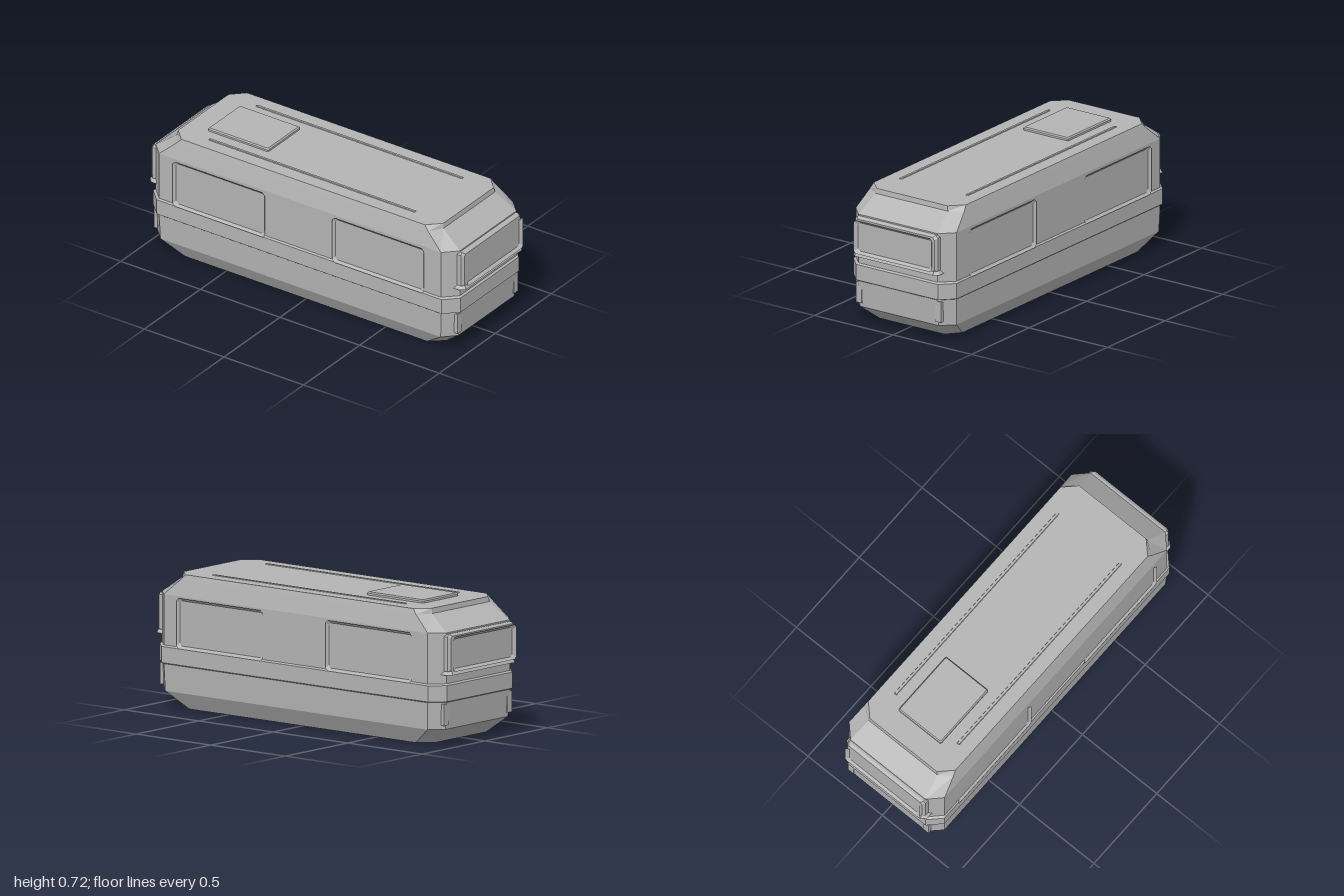
import * as THREE from 'three';

const grey = new THREE.MeshStandardMaterial({ color: 0xb4b4b4 });
grey.name = 'plain grey';

// Rectangle with cut corners at height y: half sizes hx, hz and flat lengths fx (end), fz (side)
function ring(y, hx, fx, hz, fz) {
  return [[hx, fz], [fx, hz], [-fx, hz], [-hx, fz], [-hx, -fz], [-fx, -hz], [fx, -hz], [hx, -fz]]
    .map(([x, z]) => [x, y, z]);
}

// Faceted skin through the rings, closed at the last ring and optionally at the first
function loft(rings, closeStart = true) {
  const pos = [];
  const tri = (...corners) => corners.forEach((c) => pos.push(...c));
  for (let r = 0; r < rings.length - 1; r++) {
    const a = rings[r], b = rings[r + 1];
    for (let i = 0; i < a.length; i++) {
      const j = (i + 1) % a.length;
      tri(a[i], b[i], a[j]);
      tri(b[i], b[j], a[j]);
    }
  }
  const cap = (ringPts, up) => {
    for (let i = 1; i < ringPts.length - 1; i++) {
      if (up) tri(ringPts[0], ringPts[i + 1], ringPts[i]);
      else tri(ringPts[0], ringPts[i], ringPts[i + 1]);
    }
  };
  cap(rings[rings.length - 1], true);
  if (closeStart) cap(rings[0], false);
  const geo = new THREE.BufferGeometry();
  geo.setAttribute('position', new THREE.Float32BufferAttribute(pos, 3));
  geo.computeVertexNormals();
  return geo;
}

// Cut-corner rectangle from half sizes and corner cut
const plate = (y, hx, hz, cut) => ring(y, hx, hx - cut, hz, hz - cut);

function add(parent, name, geo, x = 0, y = 0, z = 0) {
  const mesh = new THREE.Mesh(geo, grey);
  mesh.name = name;
  mesh.position.set(x, y, z);
  parent.add(mesh);
  return mesh;
}

// Everything on one end of the car, facing +z
function makeEnd() {
  const end = new THREE.Group();

  // Bevelled window surround with the inset window in front of it
  const surround = loft([
    plate(0.93, 0.262, 0.102, 0.012),
    plate(0.968, 0.262, 0.102, 0.012),
    plate(0.982, 0.25, 0.093, 0.012),
  ]).rotateX(Math.PI / 2);
  add(end, 'endWindowFrame', surround, 0, 0.484, 0);
  const recess = loft([plate(1, 0.25, 0.091, 0.012), plate(0.985, 0.233, 0.077, 0.012)], false)
    .rotateX(Math.PI / 2);
  add(end, 'endWindow', recess, 0, 0.484, 0);

  // Sloped sill below the window
  const sill = loft([ring(0.375, 0.275, 0.25, 0.055, 0.03), ring(0.393, 0.26, 0.245, 0.045, 0.025)]);
  add(end, 'windowSill', sill, 0, 0, 0.938);

  // Lamp plates at the lower corners
  for (const s of [-1, 1]) {
    add(end, 'lampPlate', new THREE.BoxGeometry(0.036, 0.112, 0.022), s * 0.252, 0.166, 0.942);
  }
  return end;
}

// The two inset windows on one side, facing +x
function makeSideWindows() {
  const side = new THREE.Group();
  for (const s of [-1, 1]) {
    const recess = loft([plate(0.335, 0.132, 0.29, 0.014), plate(0.3225, 0.118, 0.277, 0.014)], false)
      .rotateZ(-Math.PI / 2);
    add(side, 'sideWindow', recess, 0, 0.454, s * 0.5);
  }
  return side;
}

export function createModel() {
  const model = new THREE.Group();
  model.name = 'railCar';

  // Body shell with keel, waist band and sloped roof edges
  add(model, 'body', loft([
    ring(0, 0.267, 0.205, 0.835, 0.76),
    ring(0.088, 0.316, 0.25, 0.945, 0.88),
    ring(0.23, 0.321, 0.252, 0.955, 0.885),
    ring(0.236, 0.329, 0.26, 0.965, 0.895),
    ring(0.32, 0.329, 0.26, 0.965, 0.895),
    ring(0.328, 0.321, 0.252, 0.955, 0.885),
    ring(0.593, 0.321, 0.252, 0.955, 0.885),
    ring(0.677, 0.3, 0.23, 0.837, 0.79),
    ring(0.704, 0.293, 0.225, 0.833, 0.765),
  ]));

  // Matching ends and sides
  for (const turn of [0, Math.PI]) {
    const end = makeEnd();
    end.name = turn ? 'backEnd' : 'frontEnd';
    const side = makeSideWindows();
    side.name = turn ? 'rightWindows' : 'leftWindows';
    end.rotation.y = side.rotation.y = turn;
    model.add(end, side);
  }

  // Roof rails and hatch
  for (const s of [-1, 1]) {
    add(model, 'roofRail', loft([plate(0.7, 0.01, 0.65, 0.003), plate(0.708, 0.006, 0.646, 0.002)]), s * 0.211);
  }
  add(model, 'roofHatch', loft([
    plate(0.7, 0.143, 0.19, 0.006),
    plate(0.714, 0.143, 0.19, 0.006),
    plate(0.721, 0.137, 0.184, 0.005),
  ]), 0, 0, -0.515);

  return model;
}
